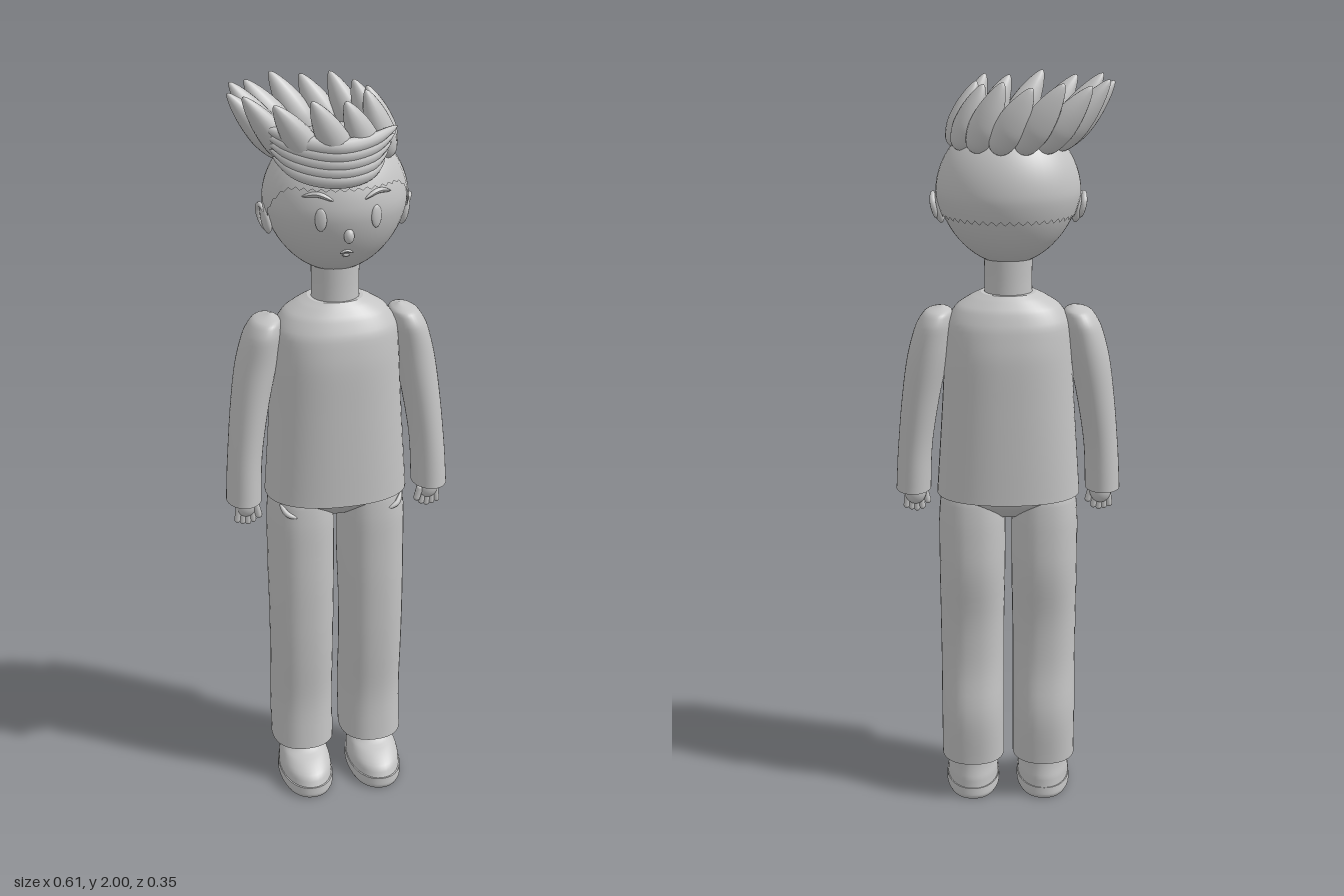
import * as THREE from 'three';
import { mergeVertices } from 'three/addons/utils/BufferGeometryUtils.js';

const V = (x, y, z) => new THREE.Vector3(x, y, z);
const clay = new THREE.MeshStandardMaterial({ color: 0xc4c4c4, side: THREE.DoubleSide });
clay.name = 'light grey';

function add(parent, name, geometry) {
  const mesh = new THREE.Mesh(geometry, clay);
  mesh.name = name;
  parent.add(mesh);
  return mesh;
}

// Smooth body through horizontal oval rings [x, y, z, rx, rz], bottom to top, with flat ends
function loft(rings, power = 2, steps = 28, sides = 36) {
  const mid = new THREE.CatmullRomCurve3(rings.map(r => V(r[0], r[1], r[2])));
  const rad = new THREE.CatmullRomCurve3(rings.map(r => V(r[3], 0, r[4])));
  const pos = [], idx = [];
  const oval = t => {
    const c = mid.getPoint(t), r = rad.getPoint(t);
    for (let i = 0; i < sides; i++) {
      const a = i / sides * Math.PI * 2, ca = Math.cos(a), sa = Math.sin(a);
      pos.push(c.x + r.x * Math.sign(ca) * Math.abs(ca) ** (2 / power), c.y,
        c.z + r.z * Math.sign(sa) * Math.abs(sa) ** (2 / power));
    }
    return c;
  };
  for (let j = 0; j <= steps; j++) oval(j / steps);
  for (let j = 0; j < steps; j++) for (let i = 0; i < sides; i++) {
    const a = j * sides + i, b = j * sides + (i + 1) % sides;
    idx.push(a, a + sides, b, b, a + sides, b + sides);
  }
  for (const end of [0, 1]) {
    const start = pos.length / 3, c = oval(end);
    pos.push(c.x, c.y, c.z);
    for (let i = 0; i < sides; i++) {
      const a = start + i, b = start + (i + 1) % sides;
      idx.push(start + sides, end ? b : a, end ? a : b);
    }
  }
  const g = new THREE.BufferGeometry();
  g.setAttribute('position', new THREE.Float32BufferAttribute(pos, 3));
  g.setIndex(idx);
  g.computeVertexNormals();
  return g;
}

// Curved tube whose thickness follows a rule along its length
function lock(points, radius, taper, seg = 24, sides = 10) {
  const curve = new THREE.CatmullRomCurve3(points.map(p => V(...p)));
  const g = new THREE.TubeGeometry(curve, seg, radius, sides), p = g.attributes.position;
  for (let i = 0; i < p.count; i++) {
    const u = Math.floor(i / (sides + 1)) / seg;
    const v = V(0, 0, 0).fromBufferAttribute(p, i), c = curve.getPointAt(u);
    v.sub(c).multiplyScalar(taper(u)).add(c);
    p.setXYZ(i, v.x, v.y, v.z);
  }
  g.computeVertexNormals();
  return g;
}
const spindle = u => Math.max(0.03, Math.sin(Math.PI * u) ** 0.55);

function ball(parent, name, x, y, z, rx, ry, rz) {
  const m = add(parent, name, new THREE.SphereGeometry(1, 20, 14));
  m.position.set(x, y, z);
  m.scale.set(rx, ry, rz);
  return m;
}

// Egg-shaped head
const HEAD = { y: 1.71, rx: 0.183, ry: 0.186, rz: 0.16 };
const jaw = t => (t < 0 ? 1 + 0.13 * t : 1);
function faceZ(x, y) {
  const t = (y - HEAD.y) / HEAD.ry, r = Math.sqrt(1 - t * t) * jaw(t);
  return HEAD.rz * Math.sqrt(Math.max(0, r * r - (x / HEAD.rx) ** 2));
}
function egg(grow, lowest) {
  let g = new THREE.SphereGeometry(1, 48, 32);
  const p = g.attributes.position, uv = g.attributes.uv;
  for (let i = 0; i < p.count; i++) {
    const a = uv.getX(i) * Math.PI * 2, f = Math.sin(a);
    const th = (1 - uv.getY(i)) * lowest(f);
    const t = Math.cos(th), r = Math.sin(th) * jaw(t) * grow;
    p.setXYZ(i, -Math.cos(a) * r * HEAD.rx, HEAD.y + t * HEAD.ry * grow, f * r * HEAD.rz);
  }
  g.deleteAttribute('uv');
  g.deleteAttribute('normal');
  g = mergeVertices(g, 1e-5);
  g.computeVertexNormals();
  return g;
}

function buildHead(root) {
  const head = new THREE.Group();
  head.name = 'head';
  root.add(head);
  add(head, 'skull', egg(1, () => Math.PI));
  // Close-cropped hair, with a hairline rising toward the forehead
  add(head, 'hairCap', egg(1.02, f => {
    const y = 1.65 + 0.12 * THREE.MathUtils.smoothstep(f, -0.1, 0.7);
    return Math.acos((y - HEAD.y) / HEAD.ry);
  }));
  for (const s of [-1, 1]) {
    ball(head, 'eye', s * 0.07, 1.703, faceZ(0.07, 1.703), 0.015, 0.029, 0.007).rotation.y = s * 0.4;
    const brow = [[0.038, 1.75], [0.075, 1.765], [0.112, 1.758]]
      .map(([x, y]) => [s * x, y, faceZ(x, y) + 0.002]);
    add(head, 'eyebrow', lock(brow, 0.007, spindle, 16, 8));
    const ear = ball(head, 'ear', s * 0.178, 1.672, 0.003, 0.014, 0.042, 0.026);
    ear.rotation.z = -s * 0.15;
    add(head, 'earRim', lock([[s * 0.182, 1.64, 0.01], [s * 0.188, 1.66, -0.018],
      [s * 0.194, 1.69, -0.02], [s * 0.193, 1.708, 0.004], [s * 0.186, 1.69, 0.022]], 0.008, spindle, 20, 8));
  }
  ball(head, 'nose', 0, 1.658, faceZ(0, 1.658) + 0.003, 0.013, 0.019, 0.014);
  const lip = (w, y, bend) => [-w, 0, w].map(x => [x, y + (x ? -bend : 0), faceZ(x, y) + 0.001]);
  add(head, 'upperLip', lock(lip(0.017, 1.612, 0.006), 0.0045, spindle, 12, 8));
  add(head, 'lowerLip', lock(lip(0.01, 1.597, -0.003), 0.0045, spindle, 12, 8));
}

function buildHair(root) {
  const hair = new THREE.Group();
  hair.name = 'hair';
  root.add(hair);
  // Ring of pointed leaf-shaped tufts swept to one side
  const profile = [[0, 0], [0.45, 0.03], [0.78, 0.12], [0.98, 0.28], [1, 0.42], [0.85, 0.62],
    [0.55, 0.82], [0.22, 0.96], [0, 1]].map(([x, y]) => new THREE.Vector2(x, y));
  const smooth = new THREE.SplineCurve(profile).getPoints(24);
  smooth.forEach(q => { q.x = Math.max(0, q.x); });
  const tuft = new THREE.LatheGeometry(smooth, 18);
  for (let i = 0; i < 13; i++) {
    const a = i <= 6 ? i * Math.PI / 6 : Math.PI + (i - 6) * Math.PI / 7;
    const c = Math.cos(a), s = Math.sin(a);
    const base = V(0.005 + 0.138 * c, 1.825, 0.122 * s);
    const tip = V(-0.094 + 0.174 * c, 1.99 + (i % 2) * 0.01, 0.162 * s);
    const dir = tip.clone().sub(base), length = dir.length();
    const m = add(hair, 'hairTuft', tuft);
    // The flat side of each tuft faces away from the head
    const up = dir.normalize(), out = V(c, 0, s);
    out.addScaledVector(up, -out.dot(up)).normalize();
    const side = V(0, 0, 0).crossVectors(up, out);
    m.quaternion.setFromRotationMatrix(new THREE.Matrix4().makeBasis(side, up, out));
    m.position.copy(base);
    m.scale.set(0.039, length, 0.034);
  }
  // Fringe of overlapping locks sweeping across the forehead
  for (let i = 0; i < 5; i++) {
    const y = 1.806 + i * 0.02, k = i * 0.008;
    add(hair, 'fringeLock', lock([[-0.175 - k, y + 0.045, 0.085], [-0.12, y + 0.012, 0.128],
      [-0.03, y - 0.003, 0.153], [0.05, y + 0.004, 0.142], [0.1 + k, y + 0.028, 0.105]],
    0.022, spindle));
  }
}

function buildArm(root, s) {
  const arm = new THREE.Group();
  arm.name = s > 0 ? 'leftArm' : 'rightArm';
  root.add(arm);
  add(arm, 'sleeve', loft([[s * 0.256, 0.902, 0.024, 0.047, 0.063], [s * 0.25, 1.02, 0.018, 0.046, 0.062],
    [s * 0.233, 1.16, 0.008, 0.05, 0.066], [s * 0.212, 1.28, 0, 0.054, 0.071],
    [s * 0.195, 1.36, 0, 0.049, 0.073], [s * 0.182, 1.4, 0, 0.036, 0.058],
    [s * 0.172, 1.415, 0, 0.004, 0.006]]));
  ball(arm, 'palm', s * 0.252, 0.888, 0.032, 0.03, 0.036, 0.024);
  for (let i = 0; i < 4; i++) {
    const x = s * (0.236 + i * 0.013);
    const f = add(arm, 'finger', new THREE.CapsuleGeometry(0.0085, 0.032, 5, 10));
    f.position.set(x, 0.853 + Math.abs(i - 1.2) * 0.005, 0.036);
    f.rotation.z = s * (i - 1.5) * 0.08;
  }
  const thumb = add(arm, 'thumb', new THREE.CapsuleGeometry(0.0095, 0.028, 5, 10));
  thumb.position.set(s * 0.223, 0.872, 0.042);
  thumb.rotation.z = -s * 0.25;
}

function buildLeg(root, s) {
  const leg = new THREE.Group();
  leg.name = s > 0 ? 'leftLeg' : 'rightLeg';
  root.add(leg);
  add(leg, 'trouserLeg', loft([[s * 0.099, 0.118, 0.002, 0.087, 0.097], [s * 0.099, 0.26, -0.008, 0.087, 0.098],
    [s * 0.099, 0.4, 0.005, 0.087, 0.094], [s * 0.099, 0.54, 0.008, 0.088, 0.097],
    [s * 0.098, 0.7, 0, 0.09, 0.107], [s * 0.098, 0.82, 0, 0.09, 0.105],
    [s * 0.098, 0.9, 0, 0.084, 0.098], [s * 0.1, 0.935, 0, 0.06, 0.07]], 2.3));
  add(leg, 'pocketEdge', lock([[s * 0.125, 0.863, 0.098], [s * 0.15, 0.873, 0.088],
    [s * 0.168, 0.898, 0.07]], 0.008, spindle, 16, 8));
  add(leg, 'shoeSole', loft([[s * 0.1, 0, 0.047, 0.07, 0.123], [s * 0.1, 0.012, 0.047, 0.075, 0.128],
    [s * 0.1, 0.034, 0.047, 0.074, 0.127]], 2.2, 8));
  add(leg, 'shoeUpper', loft([[s * 0.1, 0.034, 0.046, 0.072, 0.124], [s * 0.1, 0.058, 0.04, 0.071, 0.117],
    [s * 0.1, 0.082, 0.023, 0.065, 0.095], [s * 0.1, 0.1, 0.003, 0.059, 0.072],
    [s * 0.1, 0.13, -0.006, 0.054, 0.06]], 2.1, 14));
}

export function createModel() {
  const root = new THREE.Group();
  root.name = 'figure';
  buildHead(root);
  buildHair(root);
  add(root, 'neck', loft([[0, 1.42, 0, 0.064, 0.06], [0, 1.49, 0, 0.062, 0.058], [0, 1.57, 0, 0.064, 0.058]]));
  // Sweater body, flaring toward the hem
  add(root, 'sweater', loft([[0, 0.902, 0, 0.192, 0.136], [0, 1.02, 0, 0.184, 0.135],
    [0, 1.16, 0, 0.175, 0.133], [0, 1.29, 0, 0.168, 0.13], [0, 1.37, 0, 0.163, 0.118],
    [0, 1.415, -0.002, 0.136, 0.098], [0, 1.44, -0.002, 0.098, 0.078], [0, 1.452, -0.002, 0.072, 0.066]], 2.3, 36, 48));
  add(root, 'hips', loft([[0, 0.842, 0, 0.062, 0.055], [0, 0.865, 0, 0.105, 0.085],
    [0, 0.893, 0, 0.165, 0.112], [0, 0.93, 0, 0.178, 0.118]], 2.2, 14));
  for (const s of [-1, 1]) {
    buildArm(root, s);
    buildLeg(root, s);
  }
  return root;
}
